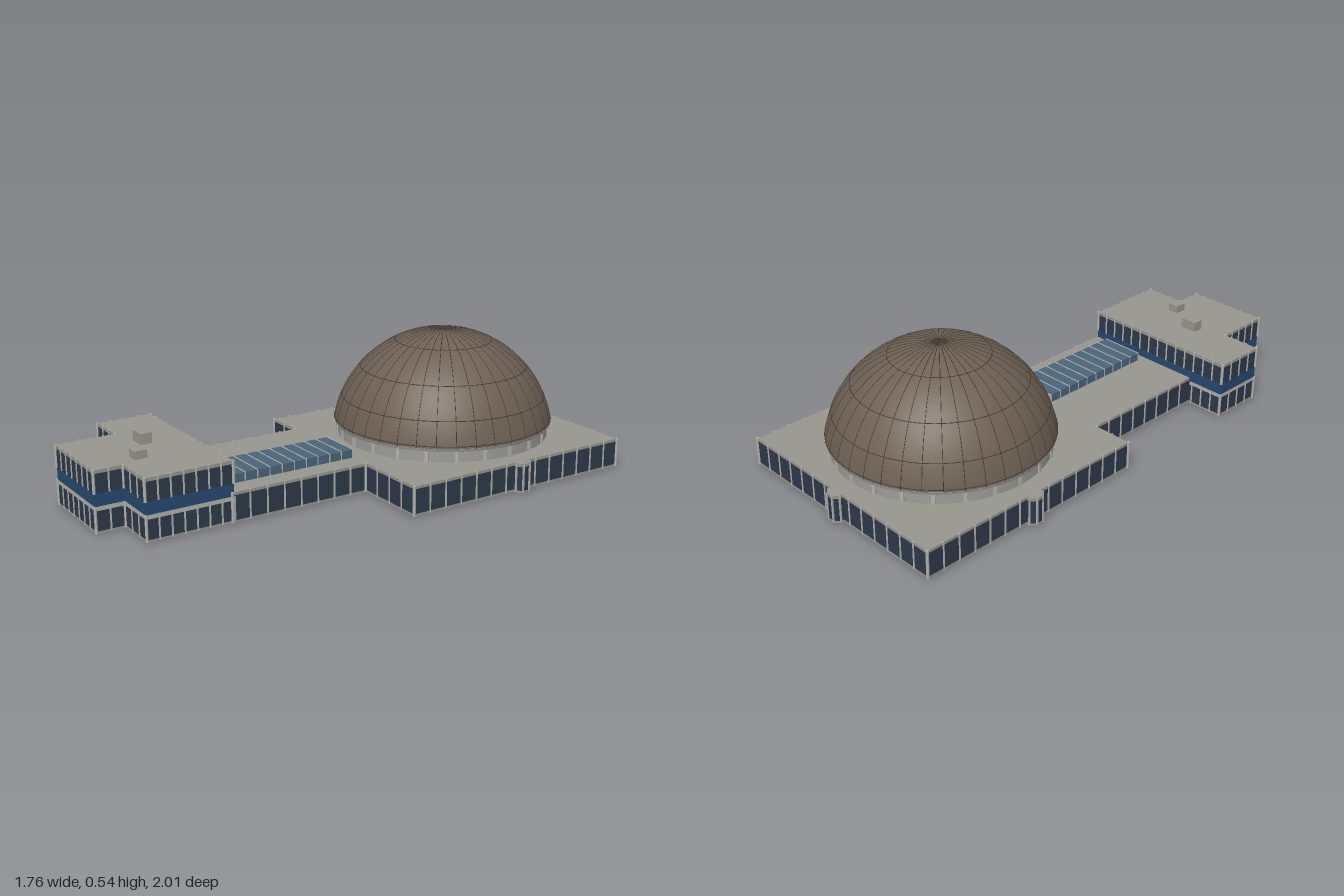
import * as THREE from 'three';
import { mergeGeometries } from 'three/addons/utils/BufferGeometryUtils.js';

const mat = (name, color) => {
  const m = new THREE.MeshStandardMaterial({ color });
  m.name = name;
  return m;
};

export function createModel() {
  const M = {
    roof: mat('roof grey', 0x97978f),
    trim: mat('pale trim', 0xb2b2ac),
    drum: mat('drum grey', 0x9c9d9a),
    window: mat('dark glass', 0x2d394a),
    blue: mat('blue band', 0x274870),
    skylight: mat('skylight glass', 0x4a6579),
    dome: mat('dome brown', 0x6d6053),
    rib: mat('dome rib', 0x453c34),
  };
  const model = new THREE.Group();
  const site = new THREE.Group();
  site.name = 'building';
  site.position.set(0.192, 0, -0.32);
  site.rotation.y = -Math.PI / 6;
  model.add(site);

  const add = (name, geometry, material, x = 0, y = 0, z = 0) => {
    const m = new THREE.Mesh(geometry, material);
    m.name = name;
    m.position.set(x, y, z);
    site.add(m);
    return m;
  };
  const box = (w, h, d, x, y, z) => new THREE.BoxGeometry(w, h, d).translate(x, y, z);

  // A horizontal slab with the given plan outline between two heights
  const slab = (name, plan, y0, y1, material) => {
    const shape = new THREE.Shape(plan.map(([x, z]) => new THREE.Vector2(x, z)));
    const g = new THREE.ExtrudeGeometry(shape, { depth: y1 - y0, bevelEnabled: false });
    add(name, g.rotateX(Math.PI / 2), material, 0, y1, 0);
  };

  // Evenly spaced mullions along every wall, with round posts at the corners
  const mullions = (name, plan, y0, y1, spacing) => {
    const parts = [];
    const h = y1 - y0, y = (y0 + y1) / 2;
    plan.forEach(([ax, az], i) => {
      const [bx, bz] = plan[(i + 1) % plan.length];
      const n = Math.max(1, Math.round(Math.hypot(bx - ax, bz - az) / spacing));
      for (let k = 1; k < n; k++) {
        const t = k / n;
        parts.push(box(0.006, h, 0.006, ax + (bx - ax) * t, y, az + (bz - az) * t));
      }
      parts.push(new THREE.CylinderGeometry(0.006, 0.006, h, 8).translate(ax, y, az));
    });
    add(name, mergeGeometries(parts), M.trim);
  };

  const lowPlan = [
    [-0.497, -0.497], [0.497, -0.497], [0.497, 0.5], [0.188, 0.5],
    [0.188, 1.07], [-0.331, 1.07], [-0.331, 0.5], [-0.497, 0.5],
  ];
  const towerPlan = [
    [-0.492, 1.062], [0.186, 1.062], [0.186, 1.402], [0.014, 1.402],
    [0.014, 1.514], [-0.33, 1.514], [-0.33, 1.283], [-0.492, 1.283],
  ];

  // Low hall and connecting wing
  slab('hallPlinth', lowPlan, 0, 0.009, M.roof);
  slab('hallWindows', lowPlan, 0.009, 0.104, M.window);
  slab('hallRoof', lowPlan, 0.104, 0.115, M.roof);
  mullions('hallMullions', lowPlan, 0.002, 0.117, 0.07);

  // Two-storey end block
  slab('towerPlinth', towerPlan, 0, 0.009, M.roof);
  slab('towerLowerWindows', towerPlan, 0.009, 0.084, M.window);
  slab('towerLedge', towerPlan, 0.084, 0.1, M.trim);
  slab('towerBlueBand', towerPlan, 0.1, 0.148, M.blue);
  slab('towerUpperWindows', towerPlan, 0.148, 0.221, M.window);
  slab('towerRoof', towerPlan, 0.221, 0.234, M.roof);
  mullions('towerLowerMullions', towerPlan, 0.002, 0.1, 0.05);
  mullions('towerUpperMullions', towerPlan, 0.148, 0.236, 0.05);
  add('roofUnitLarge', box(0.07, 0.042, 0.045, -0.187, 0.254, 1.235), M.roof);
  add('roofUnitSmall', box(0.045, 0.032, 0.05, -0.032, 0.249, 1.323), M.roof);

  // Small bays at the middle of three hall walls
  [[-0.495, 0], [0.495, 0], [0, -0.495]].forEach(([x, z]) => {
    const bay = (r, h, material, y, name) =>
      add(name, new THREE.CylinderGeometry(r, r, h, 8).rotateY(Math.PI / 8), material, x, y, z);
    bay(0.036, 0.1, M.window, 0.054, 'bayWindows');
    bay(0.038, 0.012, M.roof, 0.11, 'bayRoof');
    bay(0.038, 0.008, M.roof, 0.004, 'bayPlinth');
    const posts = [];
    for (let i = 0; i < 8; i++) {
      const a = (i + 0.5) * Math.PI / 4;
      posts.push(box(0.006, 0.112, 0.006, x + 0.036 * Math.cos(a), 0.058, z + 0.036 * Math.sin(a)));
    }
    add('bayPosts', mergeGeometries(posts), M.trim);
  });

  // Skylight over the connecting wing
  add('skylightGlass', box(0.184, 0.034, 0.522, 0.012, 0.131, 0.764), M.skylight);
  const bars = [];
  for (let i = 0; i <= 10; i++) bars.push(box(0.187, 0.037, 0.004, 0.012, 0.1315, 0.505 + i * 0.0518));
  add('skylightBars', mergeGeometries(bars), M.trim);

  // Drum under the dome
  add('drum', new THREE.CylinderGeometry(0.425, 0.425, 0.05, 64), M.drum, 0, 0.138, 0);
  add('drumLip', new THREE.CylinderGeometry(0.44, 0.434, 0.012, 64), M.trim, 0, 0.165, 0);
  const piers = [];
  for (let i = 0; i < 24; i++) {
    piers.push(box(0.014, 0.046, 0.012, 0, 0.138, 0.425).rotateY((i * Math.PI) / 12));
  }
  add('drumPiers', mergeGeometries(piers), M.trim);

  // Spherical dome with meridian ribs and ring seams
  const R = 0.446, cy = 0.09, base = Math.asin(0.08 / R);
  add('dome', new THREE.SphereGeometry(R, 72, 28, 0, Math.PI * 2, 0, Math.PI / 2 - base), M.dome, 0, cy, 0);
  const ribs = [];
  for (let i = 0; i < 18; i++) {
    ribs.push(new THREE.TorusGeometry(R, 0.0014, 4, 48, Math.PI - 2 * base)
      .rotateZ(base).rotateY((i * Math.PI) / 18));
  }
  [0.025, 0.193, 0.333, 0.408, 0.437].forEach((r) => {
    ribs.push(new THREE.TorusGeometry(r, 0.0018, 4, 72).rotateX(Math.PI / 2)
      .translate(0, Math.sqrt(R * R - r * r), 0));
  });
  add('domeRibs', mergeGeometries(ribs), M.rib, 0, cy, 0);

  return model;
}
